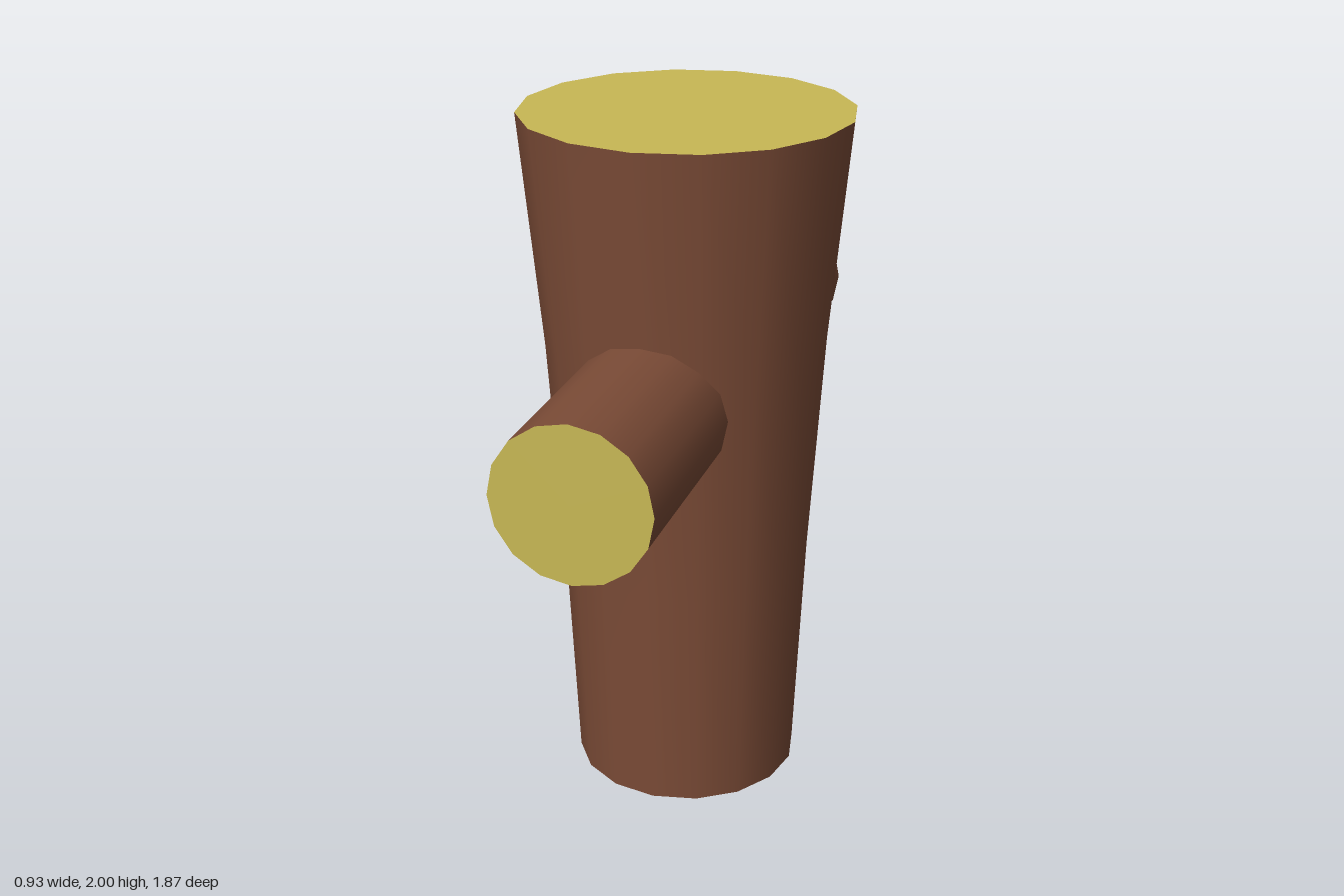
import * as THREE from 'three';

const SIDES = 16;
const bark = new THREE.MeshStandardMaterial({ color: 0x7c4c37 });
const cutWood = new THREE.MeshStandardMaterial({ color: 0xc8b855 });

function addMesh(parent, name, geometry, material) {
  const mesh = new THREE.Mesh(geometry, material);
  mesh.name = name;
  parent.add(mesh);
  return mesh;
}

// Flat disc facing +z, with a corner pointing straight up
const disc = (radius) => new THREE.CircleGeometry(radius, SIDES);

export function createModel() {
  const model = new THREE.Group();
  model.name = 'log';

  // Trunk flaring gently towards the top
  const profile = [[0.33, 0], [0.36, 0.67], [0.402, 1.33], [0.465, 2]]
    .map(([r, y]) => new THREE.Vector2(r, y));
  addMesh(model, 'trunk', new THREE.LatheGeometry(profile, SIDES), bark);
  addMesh(model, 'trunkTop', disc(0.465).rotateX(-Math.PI / 2).translate(0, 2, 0), cutWood);
  addMesh(model, 'trunkBottom', disc(0.33).rotateX(Math.PI / 2), cutWood);

  // Sawn-off branches on the front and back, rooted inside the trunk
  const radius = 0.219, inner = 0.2, outer = 0.935;
  for (const [name, turn] of [['frontBranch', 0], ['backBranch', Math.PI]]) {
    const branch = new THREE.Group();
    branch.name = name;
    branch.position.y = 1.24;
    branch.rotation.y = turn;
    const tube = new THREE.CylinderGeometry(radius, radius, outer - inner, SIDES, 1, true)
      .rotateX(Math.PI / 2).translate(0, 0, (outer + inner) / 2);
    addMesh(branch, name + 'Bark', tube, bark);
    addMesh(branch, name + 'Cut', disc(radius).translate(0, 0, outer), cutWood);
    model.add(branch);
  }
  return model;
}
